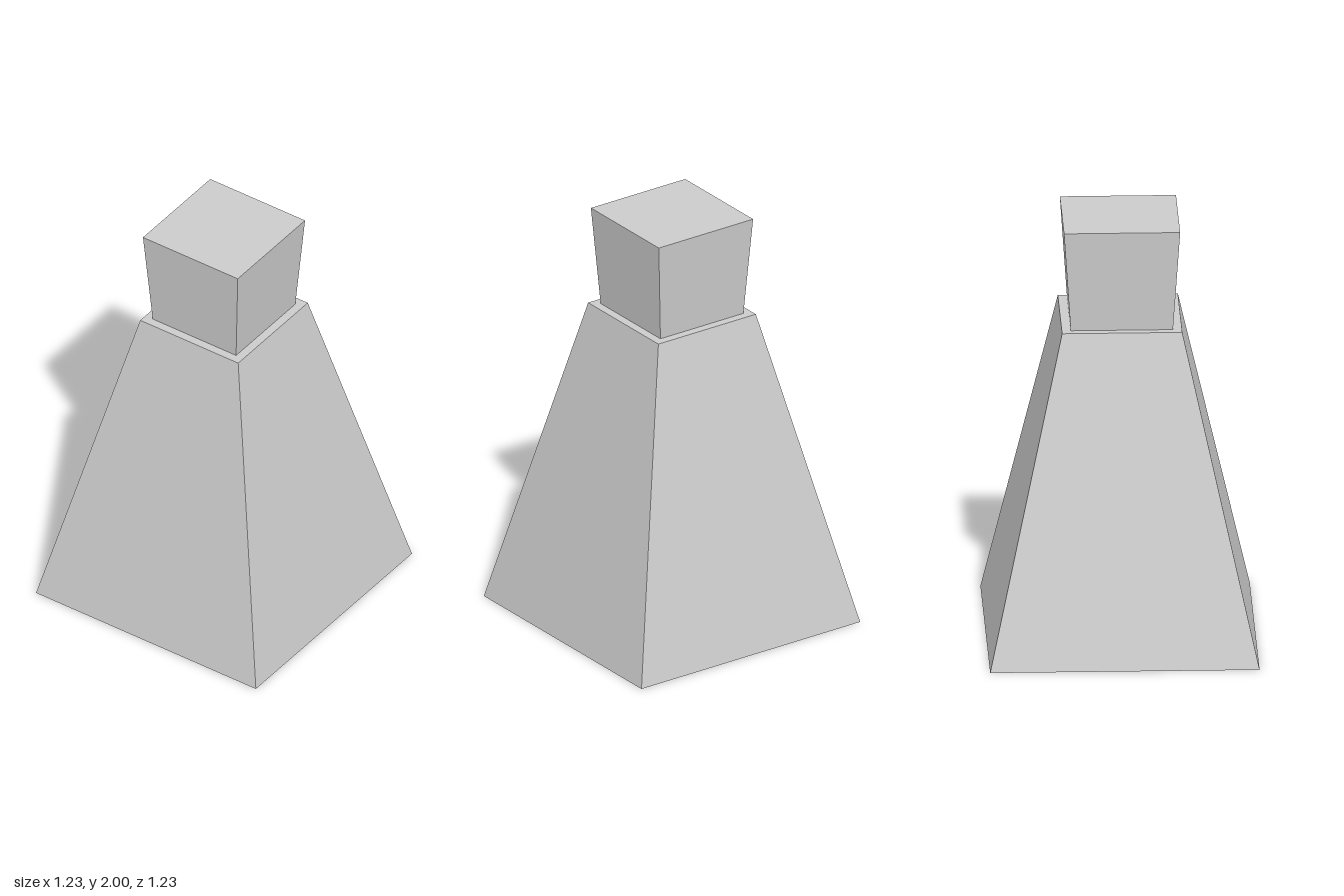
import * as THREE from 'three';

// Square frustum: a box whose top and bottom corners are set to given half-widths
function squareFrustum(bottomHalf, topHalf, y0, y1) {
  const geometry = new THREE.BoxGeometry(2, y1 - y0, 2);
  geometry.translate(0, (y0 + y1) / 2, 0);
  const p = geometry.attributes.position;
  const middle = (y0 + y1) / 2;
  for (let i = 0; i < p.count; i++) {
    const half = p.getY(i) > middle ? topHalf : bottomHalf;
    p.setX(i, p.getX(i) * half);
    p.setZ(i, p.getZ(i) * half);
  }
  geometry.computeVertexNormals();
  return geometry;
}

export function createModel() {
  const group = new THREE.Group();
  group.name = 'taperedBottle';
  const grey = new THREE.MeshStandardMaterial({ color: 0xcccccc });
  grey.name = 'lightGrey';

  const addPart = (name, ...size) => {
    const mesh = new THREE.Mesh(squareFrustum(...size), grey);
    mesh.name = name;
    group.add(mesh);
  };

  // Tapered body, narrowing to a thin shoulder
  addPart('body', 0.617, 0.275, 0, 1.52);
  // Stopper, flaring slightly upward
  addPart('stopper', 0.234, 0.266, 1.52, 2);

  return group;
}
